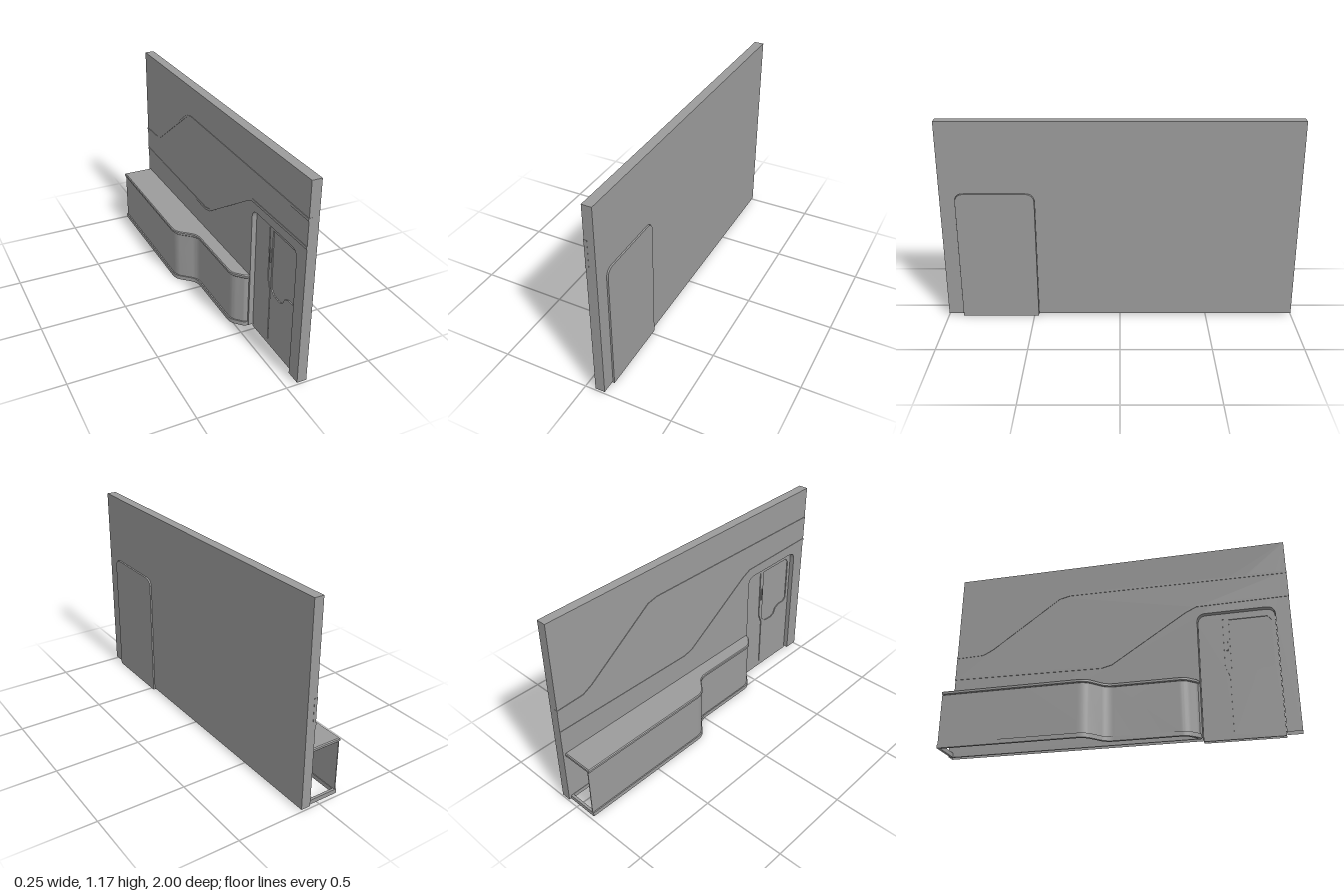
import * as THREE from 'three';
import { toCreasedNormals } from 'three/addons/utils/BufferGeometryUtils.js';

const material = new THREE.MeshStandardMaterial({ color: 0x9b9b9b, side: THREE.DoubleSide });

function addMesh(group, name, geometry) {
  const mesh = new THREE.Mesh(toCreasedNormals(geometry, 0.35), material);
  mesh.name = name;
  group.add(mesh);
  return mesh;
}

// Extrudes a (z, y) shape between two x positions
function upright(shape, x0, x1) {
  const g = new THREE.ExtrudeGeometry(shape, { depth: x1 - x0, curveSegments: 10, bevelEnabled: false });
  return g.rotateY(-Math.PI / 2).translate(x1, 0, 0);
}

// Extrudes an (x, z) shape between two heights, with an optional chamfer
function flat(shape, y0, y1, bevel = 0) {
  const g = new THREE.ExtrudeGeometry(shape, {
    depth: y1 - y0 - bevel * 2, curveSegments: 10,
    bevelEnabled: bevel > 0, bevelSize: bevel, bevelThickness: bevel, bevelOffset: -bevel, bevelSegments: 1,
  });
  return g.rotateX(Math.PI / 2).translate(0, y1 - bevel, 0);
}

// Leaves the underside of a hollow part open
function openBelow(geometry, y) {
  const p = geometry.attributes.position.array;
  const kept = [];
  for (let i = 0; i < p.length; i += 9) {
    if (Math.max(p[i + 1], p[i + 4], p[i + 7]) > y + 0.001) kept.push(...p.slice(i, i + 9));
  }
  return new THREE.BufferGeometry().setAttribute('position', new THREE.Float32BufferAttribute(kept, 3));
}

const polygon = (pts, Type = THREE.Shape) => new Type(pts.map(([a, b]) => new THREE.Vector2(a, b)));

// Narrow strip of constant height or width along a (z, y) line
const strip = (pts, dz, dy, Type) => polygon([...pts, ...pts.map(([z, y]) => [z + dz, y + dy]).reverse()], Type);

// Door outline with two rounded top corners
function doorShape() {
  const s = new THREE.Shape();
  s.moveTo(0.475, 0);
  s.lineTo(0.914, 0);
  s.lineTo(0.914, 0.703);
  s.quadraticCurveTo(0.914, 0.755, 0.862, 0.755);
  s.lineTo(0.527, 0.755);
  s.quadraticCurveTo(0.475, 0.755, 0.475, 0.703);
  return s;
}

// Stepped front edge of the counter in (x, z), moved inward by d
function counterEdge(d, end = -0.985) {
  const s = d * 0.4;
  const p = new THREE.Path();
  p.moveTo(-0.125 + d, end);
  p.lineTo(-0.125 + d, -0.18 - s);
  p.quadraticCurveTo(-0.125 + d, -0.135 - s, -0.1 + d, -0.11 - s);
  p.lineTo(-0.045 + d, -0.06 - s);
  p.quadraticCurveTo(-0.02 + d, -0.035 - s, -0.02 + d, 0.01 - s);
  p.lineTo(-0.02 + d, 0.37 - s);
  p.quadraticCurveTo(-0.02 + d, 0.4 - s, d, 0.423 - s);
  p.lineTo(0.028 + d * 0.6, 0.453 - d);
  p.quadraticCurveTo(0.042, 0.468 - d, 0.066, 0.468 - d);
  return p.getPoints(8);
}

export function createModel() {
  const model = new THREE.Group();
  model.name = 'wallWithCounter';

  // Main wall, cut out around the door
  const wall = new THREE.Shape();
  wall.moveTo(-0.999, 0.012);
  wall.lineTo(0.473, 0.012);
  wall.lineTo(0.473, 0.705);
  wall.quadraticCurveTo(0.473, 0.757, 0.525, 0.757);
  wall.lineTo(0.864, 0.757);
  wall.quadraticCurveTo(0.916, 0.757, 0.916, 0.705);
  wall.lineTo(0.916, 0.012);
  wall.lineTo(0.999, 0.012);
  wall.lineTo(0.999, 1.167);
  wall.lineTo(-0.999, 1.167);
  addMesh(model, 'wall', openBelow(upright(wall, 0.061, 0.116), 0.012));

  // Slanting trim band on the inner face, edged by two raised beads
  const lower = [[-1, 0.49], [-0.09, 0.475], [-0.03, 0.49], [0.41, 0.775], [0.473, 0.805], [1, 0.81]];
  const upper = [[-1, 0.645], [-0.83, 0.65], [-0.77, 0.68], [-0.356, 0.975], [-0.29, 0.99], [1, 0.975]];
  addMesh(model, 'trimBand', upright(polygon([...lower, ...[...upper].reverse()]), 0.0602, 0.078));
  addMesh(model, 'lowerBead', upright(strip(lower, 0, 0.015), 0.0575, 0.065));
  addMesh(model, 'upperBead', upright(strip(upper, 0, -0.015), 0.0575, 0.065));

  // Door slab, standing slightly proud of the outer face
  const door = new THREE.Group();
  door.name = 'door';
  model.add(door);
  addMesh(door, 'doorSlab', openBelow(upright(doorShape(), 0.094, 0.124), 0));

  // Inner door skin with a recessed window and a panel seam
  const skin = doorShape();
  const pane = [[0.65, 0.4], [0.655, 0.365], [0.685, 0.34], [0.745, 0.335], [0.775, 0.35],
    [0.79, 0.385], [0.825, 0.4], [0.87, 0.4], [0.89, 0.42], [0.89, 0.69], [0.87, 0.715], [0.65, 0.715]];
  skin.holes.push(polygon(pane, THREE.Path));
  const seam = [[0.615, 0.72], [0.615, 0.41], [0.64, 0.35], [0.64, 0.03]];
  skin.holes.push(strip(seam, 0.006, 0, THREE.Path));
  addMesh(door, 'doorSkin', upright(skin, 0.088, 0.095));
  addMesh(door, 'handle', new THREE.BoxGeometry(0.008, 0.08, 0.01)).position.set(0.086, 0.56, 0.633);

  // Counter: solid top, thin curved front panel, open base rim
  const counter = new THREE.Group();
  counter.name = 'counter';
  model.add(counter);
  const outline = () => new THREE.Shape([new THREE.Vector2(0.07, -0.985), ...counterEdge(0)]);
  addMesh(counter, 'counterTop', flat(outline(), 0.323, 0.345, 0.005));

  const panel = new THREE.Shape([...counterEdge(0.007), ...counterEdge(0.012).reverse()]);
  addMesh(counter, 'frontPanel', flat(panel, 0.03, 0.325));

  const rim = outline();
  rim.holes.push(new THREE.Path([new THREE.Vector2(0.059, -0.97), ...counterEdge(0.016, -0.97).slice(0, -3),
    new THREE.Vector2(0.059, 0.44)]));
  addMesh(counter, 'baseRim', flat(rim, 0.008, 0.033));

  return model;
}
